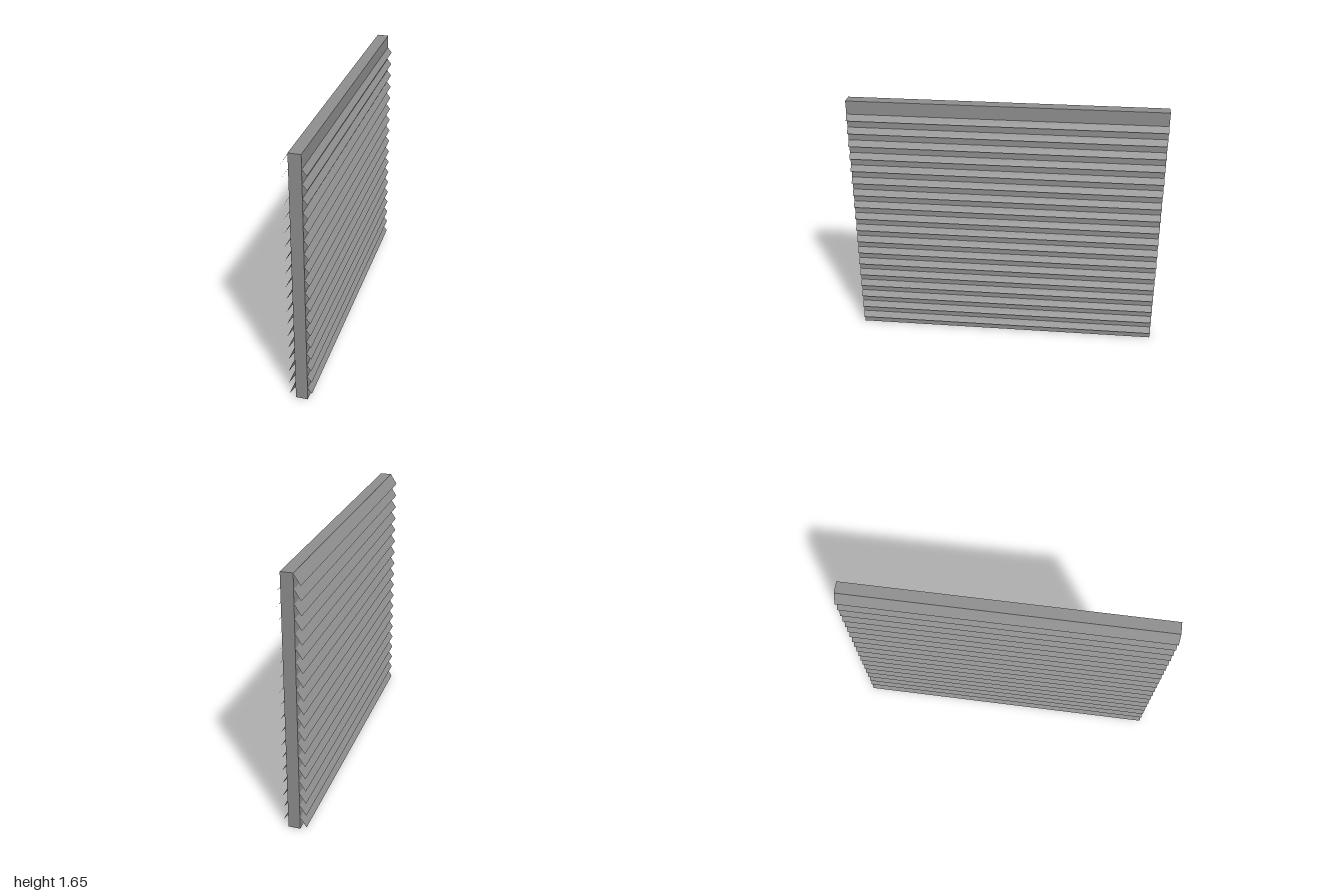
import * as THREE from 'three';

const PITCH = 0.0871;
const LENGTH = 2;
const GREY = 0x909090;

// One thin slanted slat running along z, from its wall edge down to its outer edge
function makeSlat(material, name, wallX, topY, tipX, tipY) {
  const width = Math.hypot(tipX - wallX, tipY - topY);
  const geometry = new THREE.PlaneGeometry(LENGTH, width);
  geometry.rotateY(tipX > wallX ? Math.PI / 2 : -Math.PI / 2);
  geometry.rotateZ(Math.atan2(tipX - wallX, topY - tipY));
  const slat = new THREE.Mesh(geometry, material);
  slat.position.set((wallX + tipX) / 2, (topY + tipY) / 2, 0);
  slat.name = name;
  return slat;
}

export function createModel() {
  const panel = new THREE.Group();
  panel.name = 'louverPanel';
  const solid = new THREE.MeshStandardMaterial({ color: GREY, flatShading: true });
  const sheet = new THREE.MeshStandardMaterial({
    color: GREY, flatShading: true, side: THREE.DoubleSide,
  });

  // Core board
  const board = new THREE.Mesh(new THREE.BoxGeometry(0.075, 1.655, LENGTH), solid);
  board.position.set(0.0055, 1.655 / 2, 0);
  board.name = 'board';
  panel.add(board);

  // Deep slats on the right face, starting at the top edge
  const rightSlats = new THREE.Group();
  rightSlats.name = 'rightSlats';
  for (let i = 0; i < 19; i++) {
    const y = 1.651 - i * PITCH;
    rightSlats.add(makeSlat(sheet, 'rightSlat', -0.032, y, -0.073, y - 0.064));
  }

  // Shallow slats on the left face, starting one pitch lower
  const leftSlats = new THREE.Group();
  leftSlats.name = 'leftSlats';
  for (let i = 0; i < 18; i++) {
    const y = 1.568 - i * PITCH;
    leftSlats.add(makeSlat(sheet, 'leftSlat', 0.043, y, 0.071, y - 0.036));
  }
  panel.add(rightSlats, leftSlats);

  // The whole panel is turned very slightly
  panel.rotation.y = -0.02;
  const model = new THREE.Group();
  model.add(panel);
  return model;
}
